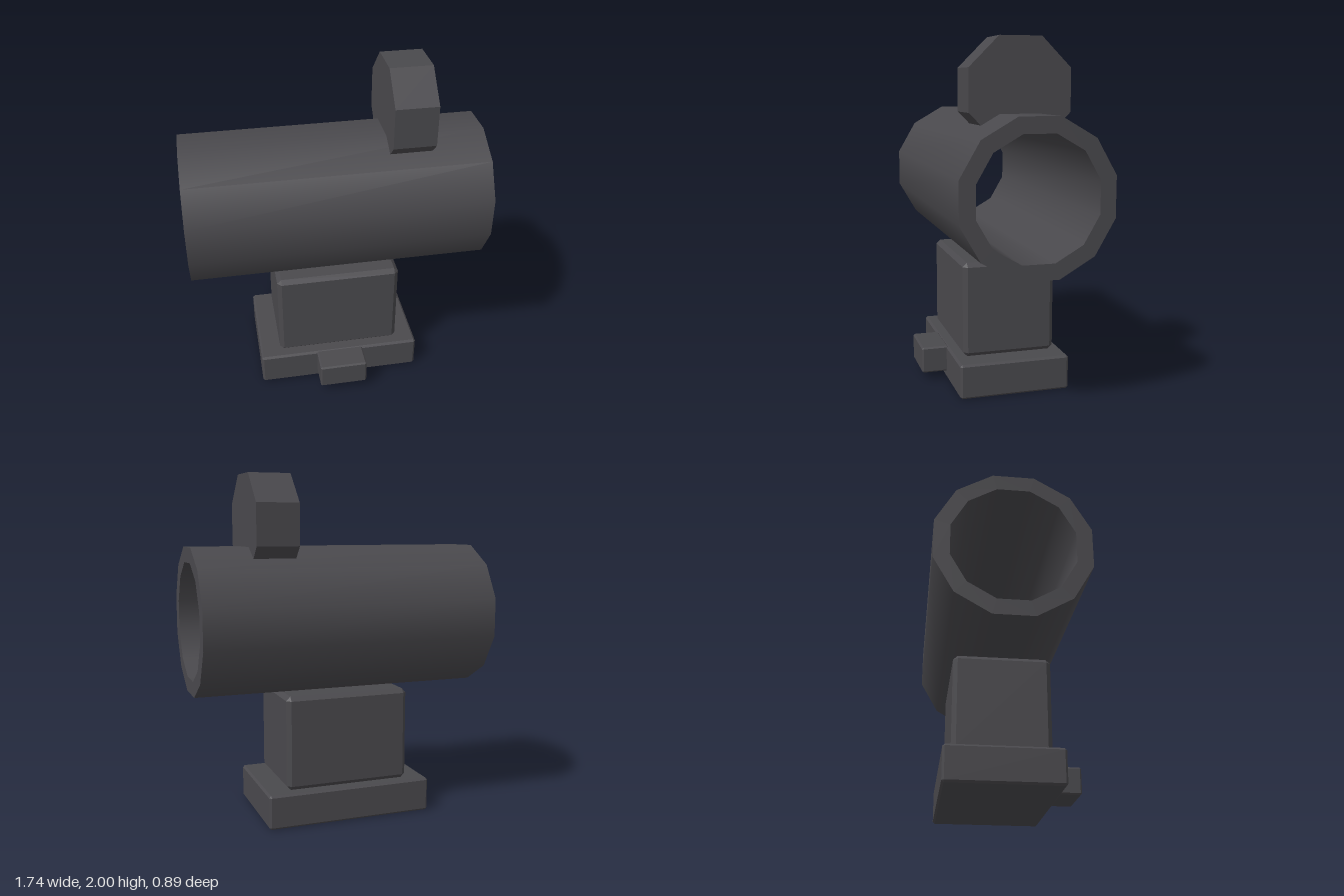
import * as THREE from 'three';
import { ConvexGeometry } from 'three/addons/geometries/ConvexGeometry.js';

const CZ = -0.024; // depth of the centre line of the body

// Box between two corners with every edge chamfered by c
function chamferBox([x0, y0, z0], [x1, y1, z1], c) {
  const points = [];
  const h = [(x1 - x0) / 2, (y1 - y0) / 2, (z1 - z0) / 2];
  const m = [(x1 + x0) / 2, (y1 + y0) / 2, (z1 + z0) / 2];
  for (const sx of [-1, 1]) for (const sy of [-1, 1]) for (const sz of [-1, 1]) {
    const s = [sx, sy, sz];
    for (let full = 0; full < 3; full++) {
      const p = s.map((sign, i) => m[i] + sign * (h[i] - (i === full ? 0 : c)));
      points.push(new THREE.Vector3(...p));
    }
  }
  return new ConvexGeometry(points);
}

export function createModel() {
  const model = new THREE.Group();
  model.name = 'tubeSight';
  const darkGrey = new THREE.MeshStandardMaterial({ color: 0x4a494d });
  darkGrey.name = 'darkGrey';

  const add = (name, geometry, parent = model) => {
    const mesh = new THREE.Mesh(geometry, darkGrey);
    mesh.name = name;
    parent.add(mesh);
    return mesh;
  };

  // Mount: foot, post and side clamp
  add('base', chamferBox([-0.495, 0, -0.345], [0.495, 0.2, 0.297], 0.012));
  add('post', chamferBox([-0.372, 0.2, -0.295], [0.372, 0.75, 0.247], 0.025));
  add('clamp', chamferBox([-0.145, 0.045, 0.285], [0.145, 0.2, 0.445], 0.009));

  // Hollow twelve-sided tube: smooth walls with crisp rims
  const tube = new THREE.Group();
  tube.name = 'tube';
  const R = 0.433, r = 0.343, L = 0.868;
  const corners = [[R, -L], [R, L], [r, L], [r, -L]];
  ['outerWall', 'leftRim', 'innerWall', 'rightRim'].forEach((name, i) => {
    const profile = [corners[i], corners[(i + 1) % 4]].map(p => new THREE.Vector2(...p));
    add(name, new THREE.LatheGeometry(profile, 12, Math.PI / 12), tube);
  });
  tube.rotation.z = -Math.PI / 2;
  tube.position.set(0, 1.172, CZ);
  model.add(tube);

  // Octagonal dial on top, cut off inside the tube wall
  const a = 0.285, b = 0.118, low = -0.195;
  const cut = a + b + low;
  const dial = new THREE.Shape([
    [-cut, low], [cut, low], [a, -b], [a, b], [b, a], [-b, a], [-a, b], [-a, -b],
  ].map(p => new THREE.Vector2(...p)));
  const dialGeometry = new THREE.ExtrudeGeometry(dial, { depth: 0.245, bevelEnabled: false });
  dialGeometry.rotateY(Math.PI / 2);
  add('dial', dialGeometry).position.set(0.297, 1.715, CZ - 0.003);

  return model;
}
